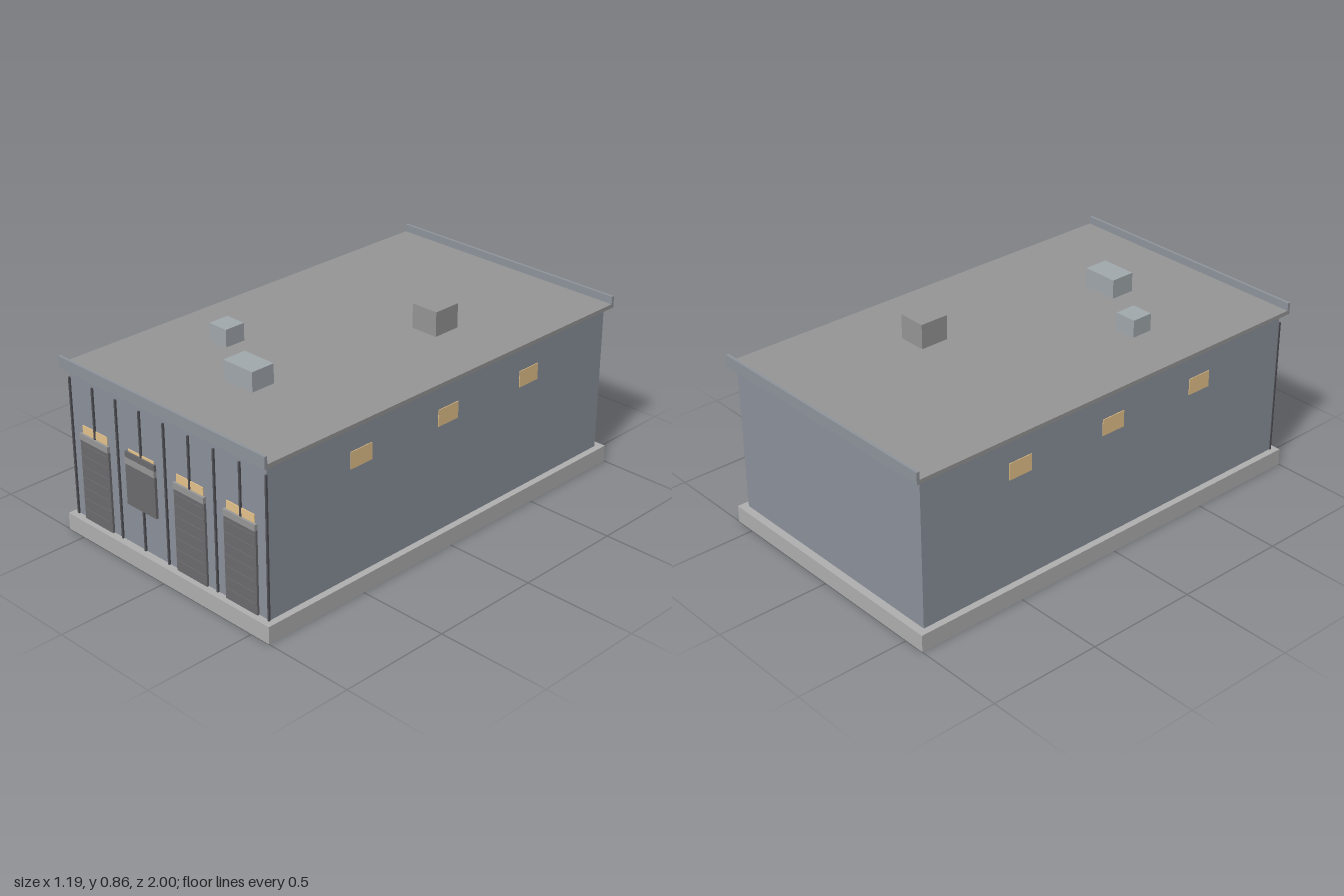
import * as THREE from 'three';

const mat = (color) => new THREE.MeshStandardMaterial({ color });

export function createModel() {
  const model = new THREE.Group();
  model.name = 'warehouse';

  const concrete = mat(0xb0b0b0);
  const cladding = mat(0x8c929c);
  const roofing = mat(0x969696);
  const trim = mat(0x8f959c);
  const ventMetal = mat(0xa2a9ae);
  const shutterMetal = mat(0x6c6c6f);
  const headerMetal = mat(0x989898);
  const darkMetal = mat(0x505056);
  const litGlass = mat(0xe6c48c);

  // Box given by its extents on each axis
  function box(name, material, [x0, x1], [y0, y1], [z0, z1], parent = model) {
    const mesh = new THREE.Mesh(new THREE.BoxGeometry(x1 - x0, y1 - y0, z1 - z0), material);
    mesh.position.set((x0 + x1) / 2, (y0 + y1) / 2, (z0 + z1) / 2);
    mesh.name = name;
    parent.add(mesh);
    return mesh;
  }

  // Main volumes
  const wallZ = 0.966;
  box('foundation', concrete, [-0.595, 0.595], [0, 0.075], [-1, 1]);
  box('walls', cladding, [-0.565, 0.565], [0.075, 0.73], [-wallZ, wallZ]);
  box('roof', roofing, [-0.59, 0.59], [0.73, 0.748], [-0.988, 0.988]);
  box('frontParapet', trim, [-0.59, 0.59], [0.73, 0.782], [0.985, 0.998]);
  box('backParapet', trim, [-0.59, 0.59], [0.73, 0.782], [-0.998, -0.985]);

  // Rooftop units
  box('smallVent', ventMetal, [-0.333, -0.235], [0.748, 0.825], [0.34, 0.437]);
  box('wideVent', ventMetal, [-0.027, 0.135], [0.748, 0.833], [0.525, 0.637]);
  box('airUnit', roofing, [0.16, 0.288], [0.748, 0.856], [-0.355, -0.225]);

  // Vertical ribs across the front
  for (let i = -4; i <= 4; i++) {
    const x = i * 0.1412;
    box('frontRib', darkMetal, [x - 0.004, x + 0.004], [0.075, 0.69], [wallZ, 0.974]);
  }

  // Loading bays: transom window, header and shutter
  [-0.4245, -0.1435, 0.1405, 0.4215].forEach((x, i) => {
    const bay = new THREE.Group();
    bay.name = 'loadingBay';
    model.add(bay);
    const raised = i === 1;
    const span = [x - 0.087, x + 0.087];
    box('transomWindow', litGlass, [x - 0.076, x + 0.076], [0.455, 0.5], [wallZ, 0.97], bay);
    box('header', headerMetal, span, [0.437, 0.464], [wallZ, 0.98], bay);
    if (raised) {
      // Half-open shutter
      box('raisedShutter', shutterMetal, span, [0.256, 0.49], [wallZ, 0.978], bay);
    } else {
      box('shutter', shutterMetal, span, [0.075, 0.437], [wallZ, 0.976], bay);
      for (let k = 0; k < 7; k++) {
        const y = 0.121 + k * 0.049;
        box('shutterSlat', shutterMetal, [x - 0.085, x + 0.082], [y - 0.002, y + 0.002], [0.976, 0.979], bay);
      }
    }
  });

  // Side windows on both long walls
  for (const side of [-1, 1]) {
    for (const z of [0.487, 0.003, -0.483]) {
      const x = side * 0.565;
      box('sideWindow', litGlass, [x - 0.003, x + 0.003], [0.547, 0.62], [z - 0.057, z + 0.057]);
    }
  }

  return model;
}
